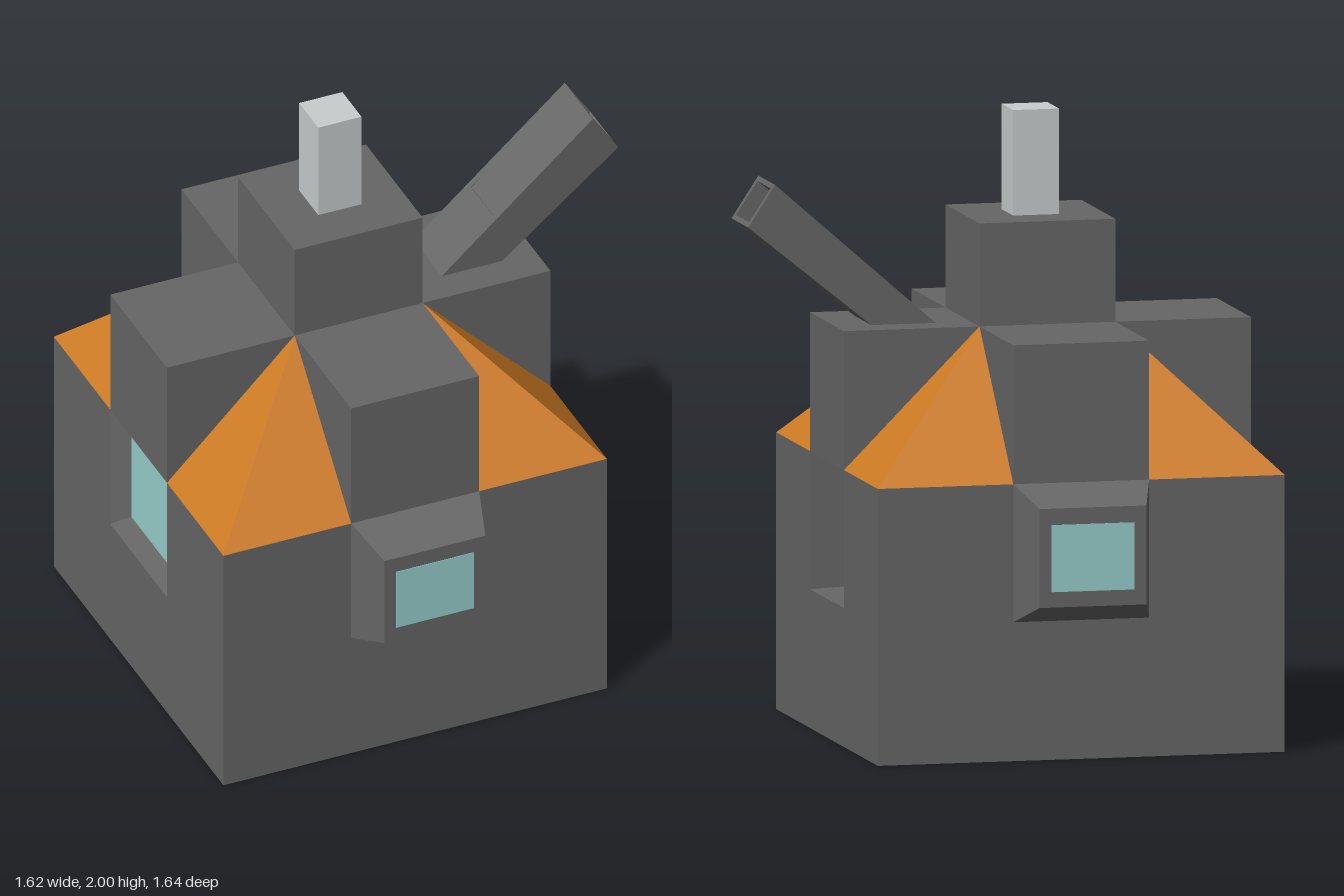
import * as THREE from 'three';

const mat = (name, color, side = THREE.FrontSide) => {
  const m = new THREE.MeshStandardMaterial({ color, side });
  m.name = name;
  return m;
};

export function createModel() {
  const grey = mat('stone grey', 0x666666);
  const orange = mat('roof orange', 0xcc7a22);
  const glass = mat('window teal', 0x96cfcc);
  const pale = mat('pale grey', 0xc9cdcd);

  const root = new THREE.Group();
  const house = new THREE.Group();
  house.name = 'house';
  house.position.x = -0.145;
  root.add(house);

  const add = (parent, name, geometry, material, x = 0, y = 0, z = 0) => {
    const mesh = new THREE.Mesh(geometry, material);
    mesh.name = name;
    mesh.position.set(x, y, z);
    parent.add(mesh);
    return mesh;
  };
  const box = (parent, name, w, h, d, material, x, y, z) =>
    add(parent, name, new THREE.BoxGeometry(w, h, d), material, x, y, z);

  // flat-shaded surface from a list of points, three per triangle
  const facets = (points) => {
    const g = new THREE.BufferGeometry();
    g.setAttribute('position', new THREE.Float32BufferAttribute(points.flat(), 3));
    g.computeVertexNormals();
    return g;
  };
  // joins four-cornered rings in order and closes the last one
  const loft = (rings) => {
    const p = [];
    for (let k = 0; k + 1 < rings.length; k++) {
      const a = rings[k], b = rings[k + 1];
      for (let i = 0; i < 4; i++) {
        const j = (i + 1) % 4;
        p.push(a[i], a[j], b[j], a[i], b[j], b[i]);
      }
    }
    const e = rings[rings.length - 1];
    p.push(e[0], e[1], e[2], e[0], e[2], e[3]);
    return facets(p);
  };
  const ring = (w, y0, y1, z) => [[-w, y0, z], [w, y0, z], [w, y1, z], [-w, y1, z]];

  const H = 0.665, T = 0.222, LOW = 0.445, MID = 0.887, TOP = 1.332;

  // lower block, with a passage from side to side
  const section = new THREE.Shape();
  [[-H, 0], [H, 0], [H, MID], [T, MID], [T, LOW], [-T, LOW], [-T, MID], [-H, MID]]
    .forEach(([x, y], i) => (i ? section.lineTo(x, y) : section.moveTo(x, y)));
  const block = new THREE.ExtrudeGeometry(section, { depth: 2 * H, bevelEnabled: false });
  block.translate(0, 0, -H).rotateY(Math.PI / 2);
  add(house, 'lowerBlock', block, grey);

  // upper cross
  const midY = (MID + TOP) / 2, armH = TOP - MID, armL = H - T;
  box(house, 'upperCrossbar', 2 * H, armH, 2 * T, grey, 0, midY, 0);
  for (const s of [1, -1])
    box(house, s > 0 ? 'frontGable' : 'backGable', 2 * T, armH, armL, grey, 0, midY, s * (T + armL / 2));

  // sloping corner roofs
  const apex = [T, TOP, T], corner = [H, MID, H];
  const roof = facets([apex, [T, MID, H], corner, apex, corner, [H, MID, T]]);
  for (let i = 0; i < 4; i++)
    add(house, 'cornerRoof', roof, orange).rotation.y = i * Math.PI / 2;

  // projecting bay windows at front and back
  for (const [name, turn] of [['frontBay', 0], ['backBay', Math.PI]]) {
    const bay = new THREE.Group();
    bay.name = name;
    bay.rotation.y = turn;
    add(bay, 'bayFrame', loft([ring(T, LOW, MID, H), ring(0.175, 0.51, 0.827, 0.82)]), grey);
    box(bay, 'bayGlass', 0.27, 0.215, 0.006, glass, 0, 0.667, 0.819);
    house.add(bay);
  }

  // deep passage opening on the left side
  const passage = new THREE.Group();
  passage.name = 'passage';
  passage.rotation.y = Math.PI / 2;
  add(passage, 'passageWalls', loft([ring(T, LOW, MID, H), ring(0.155, 0.51, 0.827, -0.605)]), grey);
  box(passage, 'passageEndPanel', 0.28, 0.315, 0.006, pale, 0, 0.667, -0.602);
  house.add(passage);

  // shallow recessed window on the right side
  const recess = new THREE.Group();
  recess.name = 'recessedWindow';
  recess.rotation.y = -Math.PI / 2;
  add(recess, 'recessFrame', loft([ring(T, LOW, MID, H), ring(0.155, 0.505, 0.827, 0.62)]), grey);
  box(recess, 'recessGlass', 0.29, 0.315, 0.006, glass, 0, 0.667, 0.622);
  house.add(recess);

  // tower and chimney
  box(house, 'tower', 2 * T, 0.33, 2 * T, grey, 0, TOP + 0.165, 0);
  box(house, 'chimney', 0.15, 0.34, 0.15, pale, 0, 1.83, 0);

  // slanted hollow pipe
  const slant = (low, high, w) =>
    [[...low, w], [...low, -w], [...high, -w], [...high, w]];
  add(root, 'slantedPipe', loft([
    slant([0.40, 1.33], [0.19, 1.33], 0.11),
    slant([0.805, 1.658], [0.717, 1.792], 0.11),
    slant([0.796, 1.672], [0.726, 1.778], 0.085),
    slant([0.48, 1.42], [0.38, 1.5], 0.085),
  ]), grey);

  return root;
}
